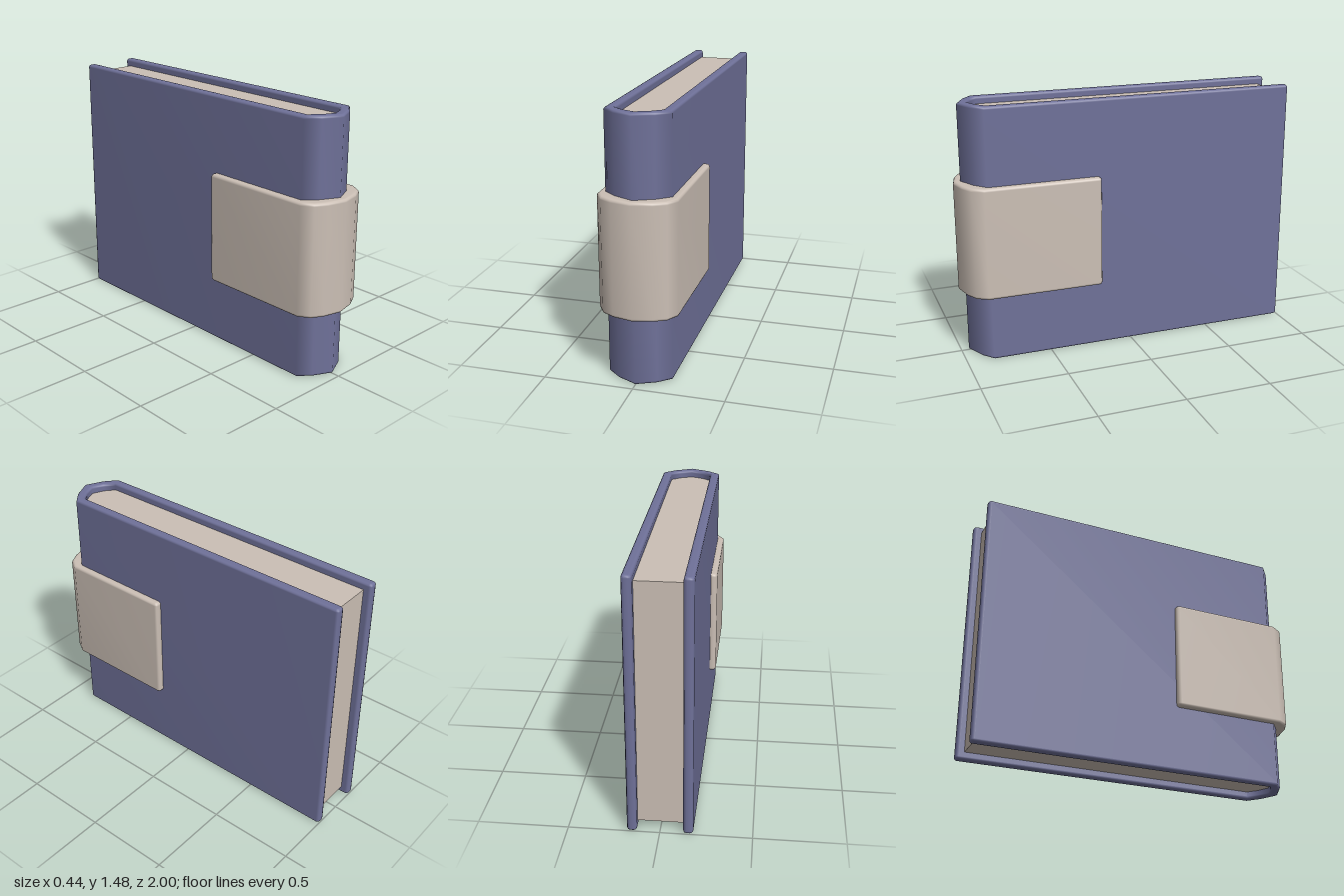
import * as THREE from 'three';
import { mergeVertices, toCreasedNormals } from 'three/addons/utils/BufferGeometryUtils.js';

// Full outline [x, z] from its right half, which starts and may end on the centre line
function mirrored(half) {
  const left = half.filter(([x]) => x > 0).reverse().map(([x, z]) => [-x, z]);
  return half.concat(left);
}

// Plan-view outline raised from y0 to y1, with rounded rims if bevel > 0
function raise(half, y0, y1, bevel) {
  const shape = new THREE.Shape(mirrored(half).map(([x, z]) => new THREE.Vector2(x, -z)));
  const geo = new THREE.ExtrudeGeometry(shape, {
    depth: y1 - y0 - 2 * bevel, steps: 1, bevelEnabled: bevel > 0,
    bevelSize: bevel, bevelThickness: bevel, bevelOffset: -bevel, bevelSegments: 3,
  });
  geo.rotateX(-Math.PI / 2).translate(0, y0 + bevel, 0);
  if (bevel === 0) return toCreasedNormals(geo, 0.9);
  // Area-weighted smooth normals keep the broad faces flat
  geo.deleteAttribute('uv');
  geo.deleteAttribute('normal');
  const smooth = mergeVertices(geo, 1e-4);
  smooth.computeVertexNormals();
  return smooth;
}

// Rounded free end of a wall between xo (outer) and xi (inner), ending at z
function roundEnd(xo, xi, z, r = 0.018) {
  const k = r * 0.29;
  return [
    [xo, z + r], [xo - k, z + k], [xo - r, z],
    [xi + r, z], [xi + k, z + k], [xi, z + r],
  ];
}

export function createModel() {
  const group = new THREE.Group();
  const clothBlue = new THREE.MeshStandardMaterial({ color: 0x6f7199 });
  const paperCream = new THREE.MeshStandardMaterial({ color: 0xcbbfb5 });

  const add = (name, geo, material) => {
    const mesh = new THREE.Mesh(geo, material);
    mesh.name = name;
    group.add(mesh);
  };

  // Cover: two boards joined by a rounded spine
  add('cover', raise([
    [0, 0.957], [0.11, 0.905], [0.18, 0.845],
    ...roundEnd(0.18, 0.125, -1),
    [0.125, 0.82], [0.07, 0.865], [0, 0.895],
  ], 0, 1.48, 0.015), clothBlue);

  // Page block, set in from the cover edges
  add('pages', raise([
    [0, 0.905], [0.075, 0.875], [0.135, 0.825], [0.135, -0.955],
  ], 0.042, 1.438, 0), paperCream);

  // Label band wrapped round the spine
  add('spineLabel', raise([
    [0, 0.998], [0.11, 0.972], [0.178, 0.935], [0.218, 0.87],
    ...roundEnd(0.218, 0.165, 0.19),
    [0.165, 0.835], [0.1, 0.89], [0, 0.935],
  ], 0.385, 1.035, 0.017), paperCream);

  return group;
}
